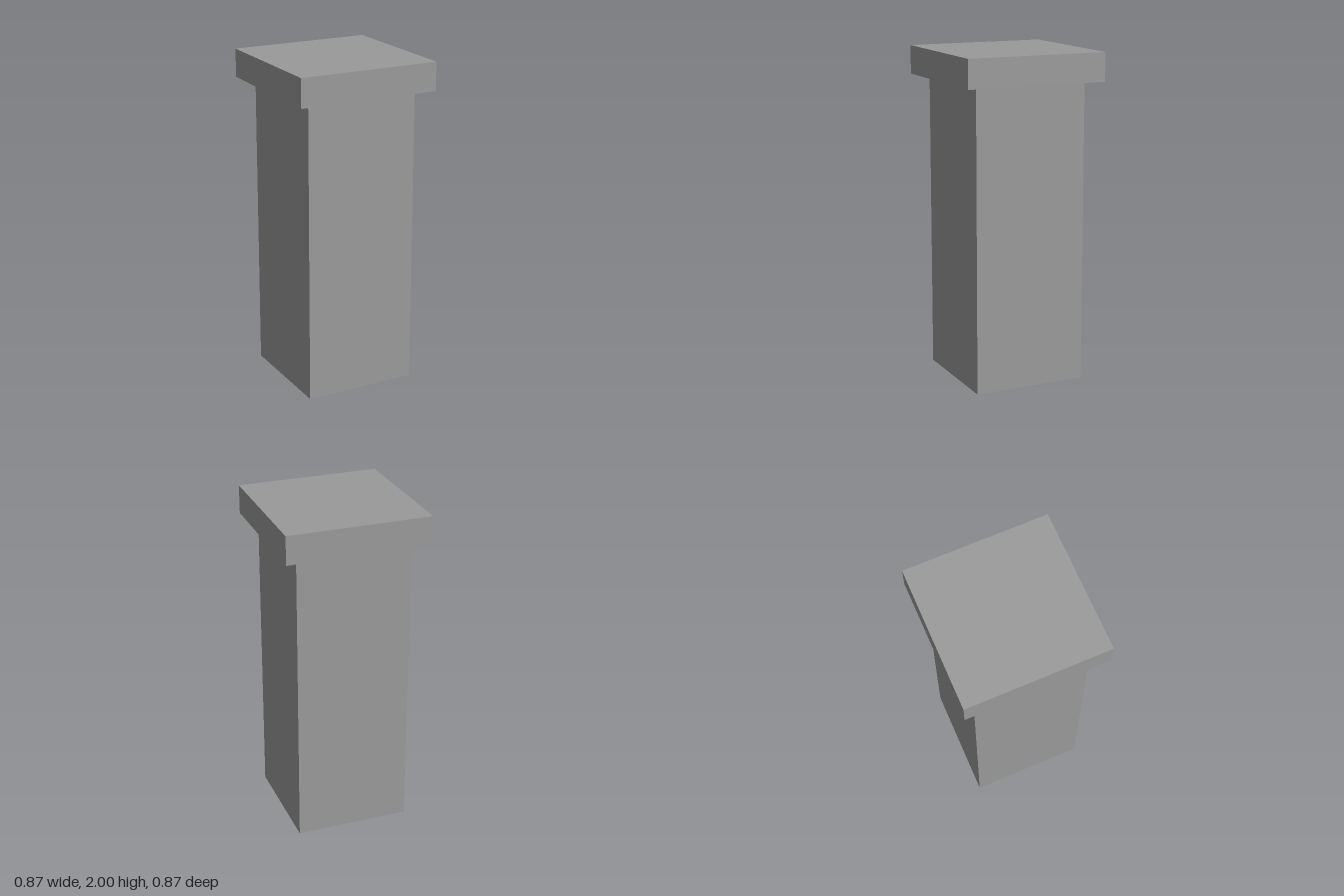
import * as THREE from 'three';

const HEIGHT = 2;
const CAP_HEIGHT = 0.173;
const CAP_WIDTH = 0.869;
const SHAFT_WIDTH = 0.694;

export function createModel() {
  const group = new THREE.Group();
  group.name = 'pillar';
  const material = new THREE.MeshStandardMaterial({ color: 0x9a9a9a });

  // Square block standing on the given base height
  const addBlock = (name, width, height, baseY) => {
    const mesh = new THREE.Mesh(new THREE.BoxGeometry(width, height, width), material);
    mesh.name = name;
    mesh.position.y = baseY + height / 2;
    group.add(mesh);
  };

  // Shaft, with the wider cap slab resting on top
  const shaftHeight = HEIGHT - CAP_HEIGHT;
  addBlock('shaft', SHAFT_WIDTH, shaftHeight, 0);
  addBlock('cap', CAP_WIDTH, CAP_HEIGHT, shaftHeight);

  return group;
}
